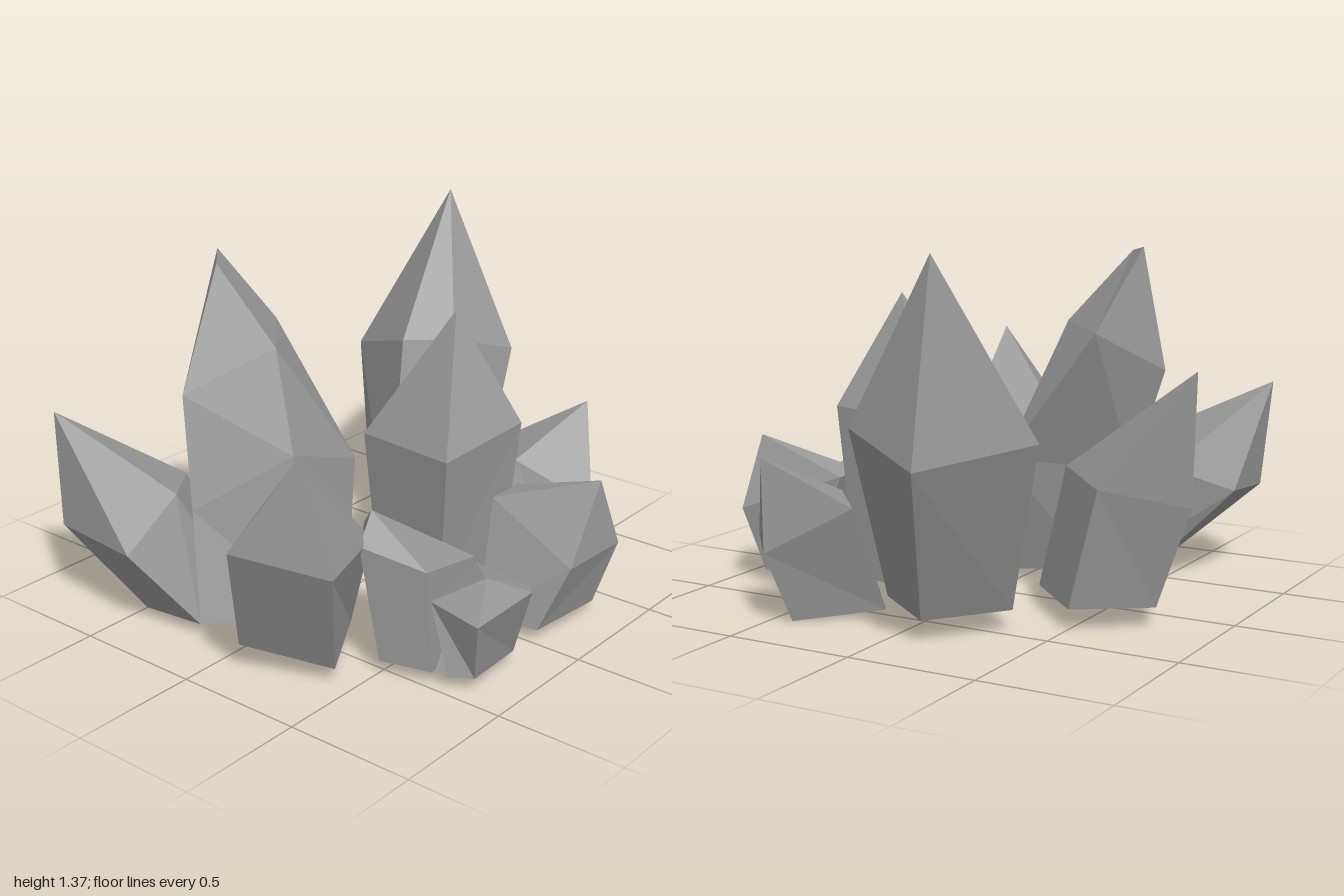
import * as THREE from 'three';

const material = new THREE.MeshStandardMaterial({ color: 0x999999, flatShading: true, side: THREE.DoubleSide });

// Open-bottomed faceted crystal: rings from the base upward, closed by one tip
// or by a short ridge (tip list as long as the ring).
function crystal(name, rings, tip) {
  const n = rings[0].length;
  const area = rings[0].reduce((sum, p, i) => {
    const q = rings[0][(i + 1) % n];
    return sum + p[2] * q[0] - p[0] * q[2];
  }, 0);
  const flip = area < 0;
  const tips = Array.isArray(tip[0]) ? tip : Array(n).fill(tip);
  const levels = [...rings, tips];
  const positions = [];
  const triangle = (a, b, c) => positions.push(...a, ...(flip ? c : b), ...(flip ? b : c));
  for (let k = 0; k < levels.length - 1; k++) {
    for (let i = 0; i < n; i++) {
      const j = (i + 1) % n;
      const [a, b, c, d] = [levels[k][i], levels[k][j], levels[k + 1][j], levels[k + 1][i]];
      triangle(a, b, c);
      if (c !== d) triangle(a, c, d);
    }
  }
  const geometry = new THREE.BufferGeometry();
  geometry.setAttribute('position', new THREE.Float32BufferAttribute(positions, 3));
  geometry.computeVertexNormals();
  const mesh = new THREE.Mesh(geometry, material);
  mesh.name = name;
  return mesh;
}

// Level outline given as x, z pairs
const level = (y, ...xz) => xz.map(([x, z]) => [x, y, z]);

export function createModel() {
  const group = new THREE.Group();
  group.name = 'crystalCluster';

  // Tall five-sided crystal leaning to the back
  group.add(crystal('backTallCrystal', [
    level(0.08, [-0.13, -0.74], [0.15, -0.52], [0.13, -0.37], [-0.06, -0.22], [-0.34, -0.46]),
    [[-0.26, 0.66, -1.0], [0.08, 0.76, -0.86], [0.02, 0.87, -0.54], [-0.13, 0.87, -0.4], [-0.53, 0.72, -0.62]],
  ], [-0.27, 1.37, -0.89]));

  // Tall crystal with a short ridge for a tip
  const ridgeBack = [-0.5, 1.33, 0.26], ridgeFront = [-0.41, 1.31, 0.36];
  group.add(crystal('frontTallCrystal', [
    level(0.05, [0.03, 0.14], [0.1, 0.41], [-0.18, 0.74], [-0.28, 0.3]),
    [[-0.04, 0.52, 0.01], [-0.01, 0.66, 0.4], [-0.27, 0.46, 0.67], [-0.44, 0.46, 0.31]],
    [[-0.41, 1.02, 0.04], [-0.15, 1.03, 0.33], [-0.37, 0.87, 0.6], [-0.57, 0.86, 0.32]],
  ], [ridgeBack, ridgeFront, ridgeFront, ridgeBack]));

  // Upright crystal near the middle
  group.add(crystal('centreCrystal', [
    level(0.06, [0.38, 0.01], [0.45, -0.28], [0.12, -0.34], [0.06, -0.01]),
    [[0.45, 0.65, 0.08], [0.53, 0.72, -0.28], [0.1, 0.71, -0.36], [0.03, 0.65, 0.04]],
  ], [0.32, 1.155, -0.14]));

  // Crystal leaning out to the front
  group.add(crystal('frontCrystal', [
    [[0.43, 0.06, 0.69], [0.11, 0.11, 0.84], [-0.03, 0.13, 0.52], [0.27, 0.08, 0.41]],
    [[0.55, 0.5, 0.84], [0.22, 0.56, 1.0], [0.07, 0.57, 0.67], [0.44, 0.5, 0.5]],
  ], [0.43, 0.92, 0.87]));

  // Crystal leaning out to the front corner
  group.add(crystal('frontCornerCrystal', [
    level(0.05, [-0.43, 0.77], [-0.18, 0.74], [-0.18, 0.5], [-0.33, 0.36], [-0.46, 0.48]),
    [[-0.75, 0.34, 0.88], [-0.36, 0.34, 0.92], [-0.31, 0.53, 0.71], [-0.54, 0.46, 0.43], [-0.75, 0.36, 0.6]],
  ], [-0.81, 0.77, 0.84]));

  // Crystal leaning out to the side
  group.add(crystal('sideCrystal', [
    level(0.08, [-0.77, -0.18], [-0.51, -0.36], [-0.26, -0.11], [-0.54, 0.13]),
    [[-0.91, 0.46, -0.2], [-0.63, 0.53, -0.38], [-0.38, 0.55, -0.13], [-0.66, 0.48, 0.11]],
  ], [-0.94, 0.95, -0.24]));

  // Slim crystal leaning out to the back corner
  group.add(crystal('backCornerCrystal', [
    [[0.57, 0, -0.54], [0.31, 0, -0.32], [0.15, 0.03, -0.53], [0.42, 0, -0.74]],
    [[0.63, 0.28, -0.65], [0.36, 0.45, -0.5], [0.17, 0.44, -0.71], [0.46, 0.27, -0.85]],
  ], [0.46, 0.62, -0.855]));

  // Low crystals on the other side
  group.add(crystal('lowBackCrystal', [
    level(0.05, [0.81, -0.01], [0.84, -0.34], [0.6, -0.4], [0.57, 0.02]),
    [[0.9, 0.3, -0.08], [0.91, 0.3, -0.39], [0.5, 0.45, -0.31], [0.5, 0.45, -0.15]],
  ], [0.885, 0.58, -0.285]));

  group.add(crystal('lowInnerCrystal', [
    level(0.05, [0.38, 0.34], [0.5, 0.53], [0.7, 0.48], [0.62, 0.14]),
    [[0.27, 0.46, 0.33], [0.45, 0.5, 0.58], [0.67, 0.43, 0.48], [0.6, 0.33, 0.1]],
  ], [0.44, 0.61, 0.5]));

  group.add(crystal('lowOuterCrystal', [
    level(0.05, [0.83, 0.17], [0.84, 0.42], [0.76, 0.47], [0.67, 0.45], [0.64, 0.14]),
    [[0.935, 0.34, 0.22], [0.89, 0.29, 0.48], [0.68, 0.32, 0.47], [0.62, 0.32, 0.12], [0.87, 0.32, 0.15]],
  ], [0.85, 0.43, 0.38]));

  return group;
}
